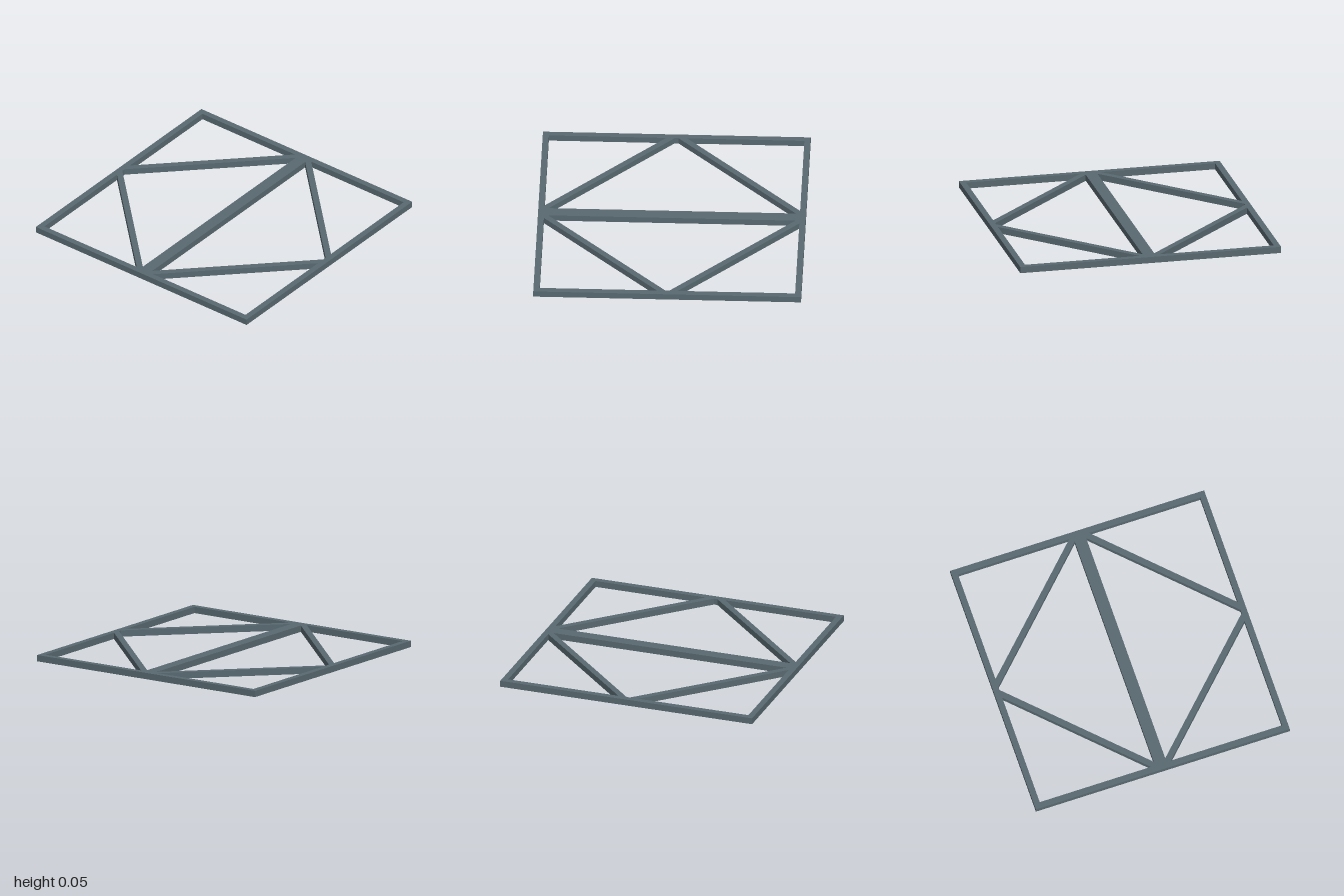
import * as THREE from 'three';

const H = 0.048;   // bar height
const W = 0.046;   // bar width
const BEAM = 0.09; // centre beam width

export function createModel() {
  const group = new THREE.Group();
  group.name = 'bracedFrame';
  const steel = new THREE.MeshStandardMaterial({ color: 0x586970 });
  steel.name = 'blueGreySteel';

  // A bar lying on the ground between two points of the xz plane
  function bar(name, x0, z0, x1, z1, width) {
    const length = Math.hypot(x1 - x0, z1 - z0);
    const mesh = new THREE.Mesh(new THREE.BoxGeometry(width, H, length), steel);
    mesh.name = name;
    mesh.position.set((x0 + x1) / 2, H / 2, (z0 + z1) / 2);
    mesh.rotation.y = Math.atan2(x1 - x0, z1 - z0);
    group.add(mesh);
  }

  // Centre beam, running the full depth
  bar('centreBeam', 0, -1, 0, 1, BEAM);

  for (const s of [-1, 1]) {
    const side = s > 0 ? 'left' : 'right';
    // Side rail
    bar(side + 'Rail', s * (1 - W / 2), -1, s * (1 - W / 2), 1, W);
    for (const t of [-1, 1]) {
      const end = t > 0 ? 'Front' : 'Back';
      // End rail half, butted between centre beam and side rail
      bar(side + end + 'Rail', s * BEAM / 2, t * (1 - W / 2), s * (1 - W), t * (1 - W / 2), W);
      // Diagonal brace, its ends buried in the beam and the side rail
      bar(side + end + 'Brace', s * 0.025, t * 0.975, s * 0.975, t * 0.025, W);
    }
  }
  return group;
}
